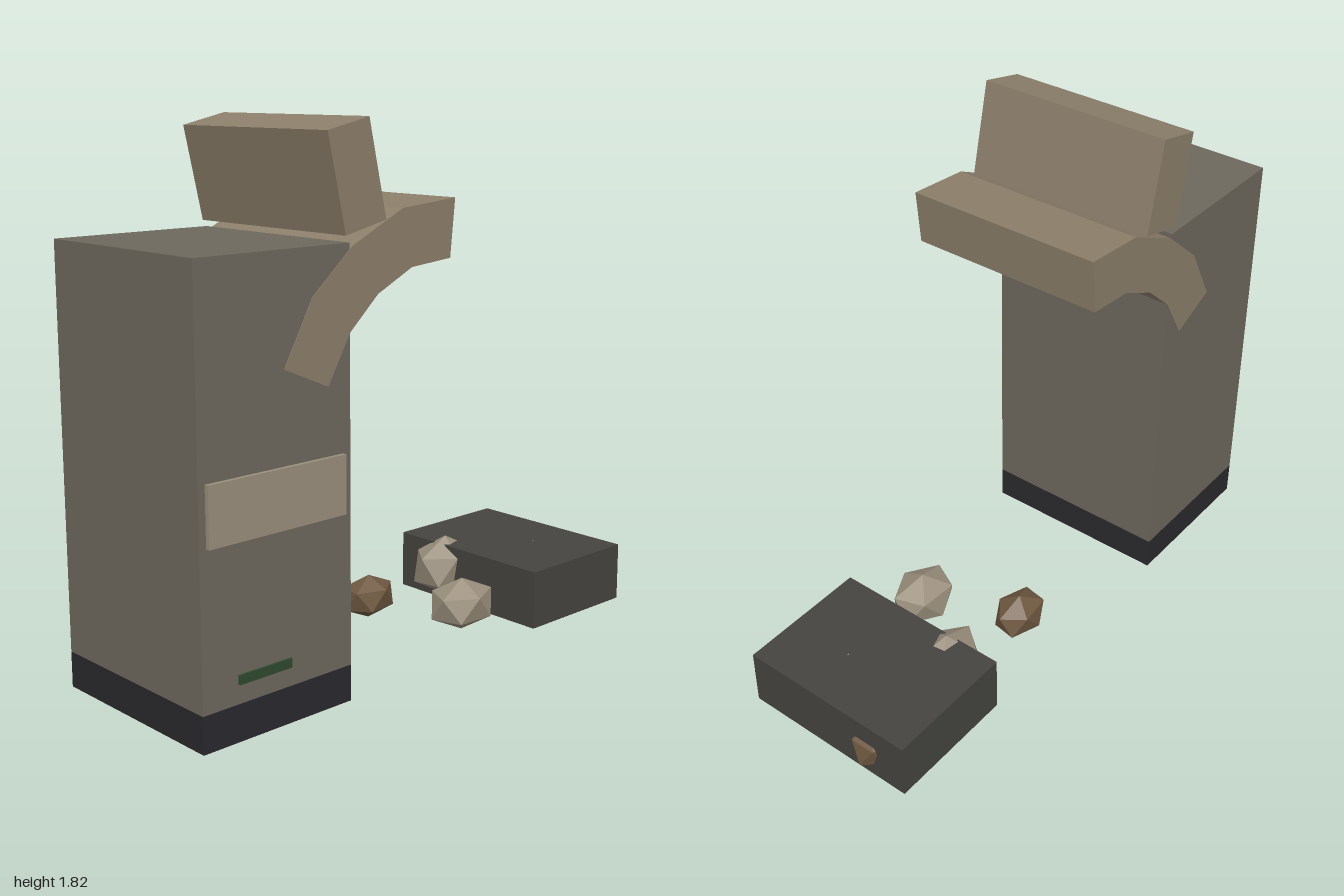
import * as THREE from 'three';

const DEPTH = 0.7, MID_Z = -0.0125;

function material(color) {
  return new THREE.MeshStandardMaterial({ color, flatShading: true });
}

export function createModel() {
  const model = new THREE.Group();
  const stone = material(0x6e685d), dark = material(0x2a2a2e), slabGrey = material(0x454440);
  const tan = material(0x8c7f6b), paleTan = material(0x9a8f7c), brown = material(0x6e5840);
  const green = material(0x2f4a30);

  function add(name, geometry, mat, x, y, z) {
    const mesh = new THREE.Mesh(geometry, mat);
    mesh.name = name;
    mesh.position.set(x, y, z);
    model.add(mesh);
    return mesh;
  }

  // Box given by its lower and upper bounds on each axis
  function block(name, mat, [x0, x1], [y0, y1], [z0, z1]) {
    return add(name, new THREE.BoxGeometry(x1 - x0, y1 - y0, z1 - z0), mat,
      (x0 + x1) / 2, (y0 + y1) / 2, (z0 + z1) / 2);
  }

  // Tower on its dark plinth
  const z = [MID_Z - DEPTH / 2, MID_Z + DEPTH / 2];
  block('tower', stone, [-1, -0.42], [0.12, 1.45], z);
  block('plinth', dark, [-1, -0.42], [0, 0.12], z);
  block('frontPanel', paleTan, [-0.975, -0.45], [0.62, 0.81], [0.33, 0.352]);
  block('greenStrip', green, [-0.88, -0.68], [0.19, 0.22], [0.353, 0.361]);

  // Broken arch: a curved band extruded across the tower's depth
  const outer = [[-0.68, 1.1], [-0.57, 1.3], [-0.41, 1.44], [-0.2, 1.54], [0.03, 1.56]];
  const inner = [[0.01, 1.37], [-0.16, 1.355], [-0.305, 1.285], [-0.42, 1.18], [-0.51, 1.025]];
  const band = new THREE.Shape([...outer, ...inner].map(p => new THREE.Vector2(...p)));
  const archDepth = DEPTH + 0.004;
  add('brokenArch', new THREE.ExtrudeGeometry(band, { depth: archDepth, bevelEnabled: false }),
    tan, 0, 0, MID_Z - archDepth / 2);

  // Leaning block balanced on the arch
  const leaning = add('leaningBlock', new THREE.BoxGeometry(0.17, 0.318, DEPTH), tan, -0.387, 1.645, MID_Z);
  leaning.rotation.z = 0.222;

  // Fallen slab
  block('fallenSlab', slabGrey, [0.48, 0.96], [0, 0.21], [-0.345, 0.32]);

  // Rubble: [centre, half sizes, turn about y, material]
  const rubble = [
    [[0.14, 0.078, -0.18], [0.115, 0.08, 0.085], 0.5, brown],
    [[0.295, 0.095, 0.14], [0.138, 0.095, 0.108], 0.25, paleTan],
    [[0.51, 0.12, -0.15], [0.15, 0.115, 0.108], 0.1, paleTan],
    [[0.9, 0.085, -0.18], [0.1, 0.085, 0.085], 0, brown],
    [[0.76, 0.11, 0.07], [0.12, 0.102, 0.1], 0.3, paleTan],
  ];
  rubble.forEach(([centre, size, turn, mat], i) => {
    const rock = new THREE.IcosahedronGeometry(1, 0);
    rock.rotateZ(0.5536); // one vertex points straight up
    rock.rotateY(turn);
    rock.scale(...size);
    add('rubble' + (i + 1), rock, mat, ...centre);
  });

  return model;
}
